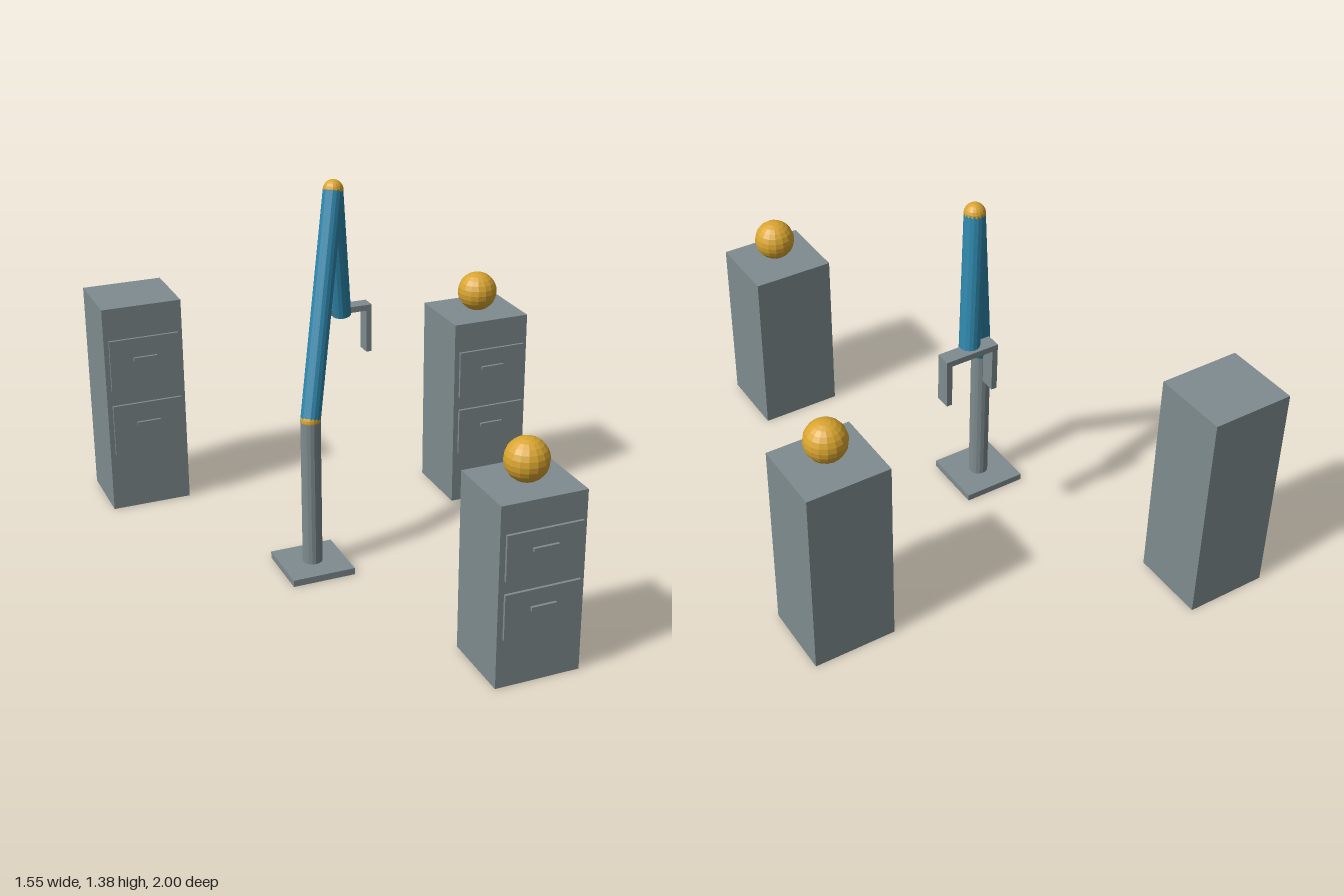
import * as THREE from 'three';

export function createModel() {
  const model = new THREE.Group();
  model.name = 'robotArmWithCabinets';

  const mat = (name, color) => {
    const m = new THREE.MeshStandardMaterial({ color, flatShading: true });
    m.name = name;
    return m;
  };
  const grey = mat('metalGrey', 0x7f8c8f);
  const blue = mat('armBlue', 0x2e86ab);
  const amber = mat('amber', 0xd9a530);

  const add = (parent, name, geometry, material, x, y, z) => {
    const mesh = new THREE.Mesh(geometry, material);
    mesh.name = name;
    mesh.position.set(x, y, z);
    parent.add(mesh);
    return mesh;
  };
  const box = (w, h, d) => new THREE.BoxGeometry(w, h, d);

  // Cabinets: body, two raised drawer fronts with handles, optional ball on top
  const W = 0.305, D = 0.276, BALL = 0.075;
  function cabinet(name, x, z, h, hasBall) {
    const g = new THREE.Group();
    g.name = name;
    g.position.set(x, 0, z);
    add(g, 'body', box(W, h, D), grey, 0, h / 2, 0);
    for (const f of [0.726, 0.405]) {
      add(g, 'drawerFront', box(0.27, h * 0.248, 0.01), grey, 0, h * f, D / 2 + 0.01);
      add(g, 'drawerHandle', box(0.09, 0.013, 0.011), grey, 0, h * (f + 0.025), D / 2 + 0.0195);
    }
    if (hasBall) add(g, 'ball', new THREE.SphereGeometry(BALL, 16, 12), amber, 0, h + BALL + 0.002, 0.012);
    model.add(g);
  }
  cabinet('backLeftCabinet', -0.621, -0.862, 0.824, false);
  cabinet('frontCabinet', 0.168, 0.837, 0.651, true);
  cabinet('sideCabinet', 0.619, -0.41, 0.737, true);

  // Arm: plate, column, two links and two ball joints
  const R = 0.036;
  const shoulder = new THREE.Vector3(-0.227, 0.58, 0);
  const elbow = new THREE.Vector3(-0.049, 1.34, -0.212);
  const wrist = new THREE.Vector3(0.006, 0.848, -0.279);
  const arm = new THREE.Group();
  arm.name = 'arm';
  model.add(arm);

  function link(name, a, b) {
    const dir = b.clone().sub(a);
    const mid = a.clone().add(b).multiplyScalar(0.5);
    const mesh = add(arm, name, new THREE.CylinderGeometry(R, R, dir.length(), 16), blue, mid.x, mid.y, mid.z);
    mesh.quaternion.setFromUnitVectors(new THREE.Vector3(0, 1, 0), dir.normalize());
  }
  add(arm, 'basePlate', box(0.235, 0.025, 0.235), grey, shoulder.x, 0.0125, 0);
  add(arm, 'column', new THREE.CylinderGeometry(R, R, 0.56, 16), grey, shoulder.x, 0.3, 0);
  link('upperArm', shoulder, elbow);
  link('forearm', elbow, wrist);
  for (const [name, p] of [['shoulderJoint', shoulder], ['elbowJoint', elbow]]) {
    add(arm, name, new THREE.SphereGeometry(R + 0.0005, 16, 12), amber, p.x, p.y, p.z);
  }

  // Gripper: crossbar with two fingers
  const gripper = new THREE.Group();
  gripper.name = 'gripper';
  gripper.position.set(0.021, 0, -0.296);
  arm.add(gripper);
  add(gripper, 'crossbar', box(0.2, 0.022, 0.055), grey, 0, 0.862, 0);
  for (const s of [-1, 1]) {
    add(gripper, 'finger', box(0.021, 0.161, 0.055), grey, s * 0.0895, 0.7705, 0);
  }

  return model;
}
